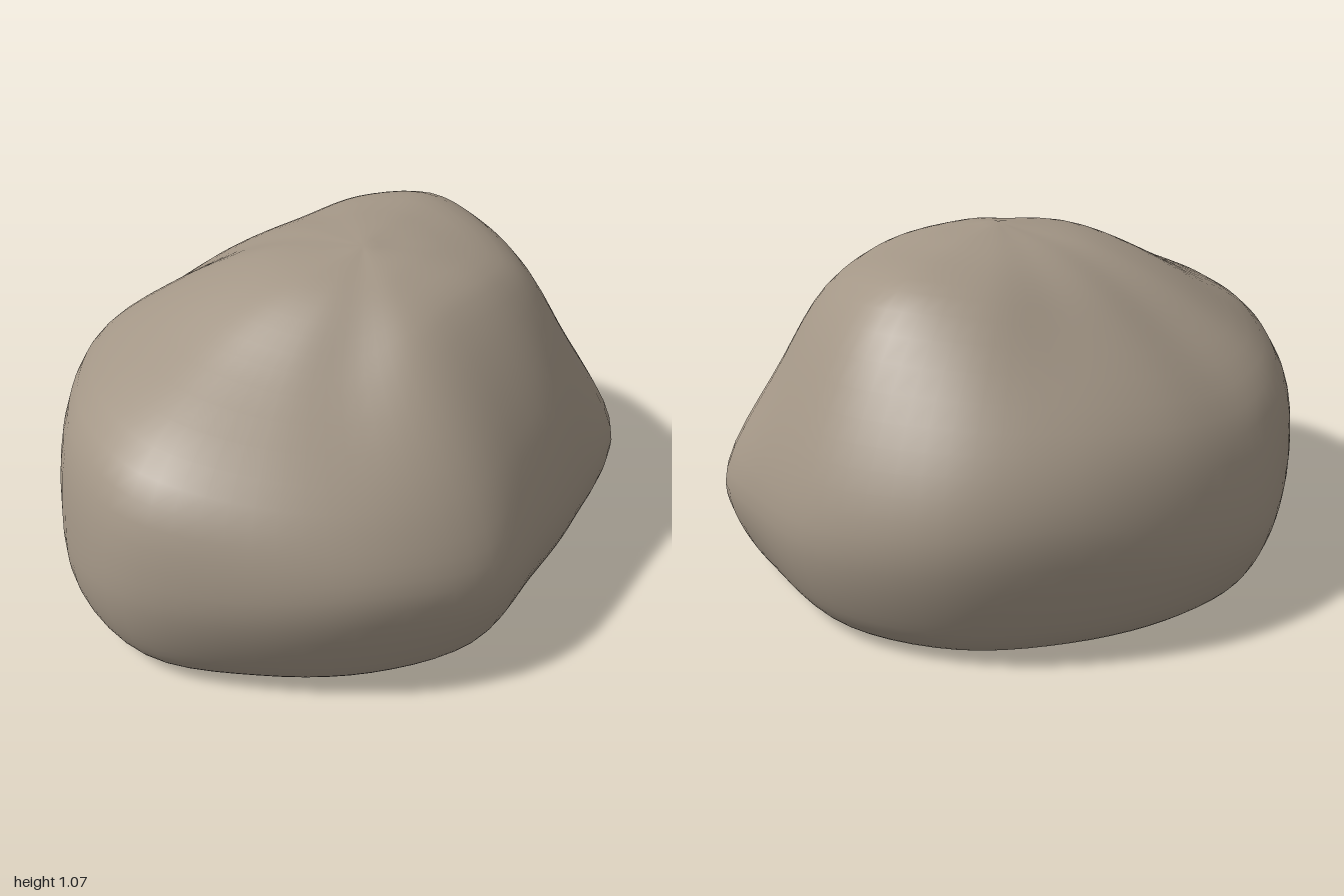
import * as THREE from 'three';

// One upright profile per 22.5 degrees, turning from +x towards +z:
// [low radius, widest radius, its height, shoulder radius, its height, upper radius, its height]
const PROFILES = [
  [0.95, 1.00, 0.36, 0.89, 0.67, 0.65, 0.99],
  [0.93, 0.97, 0.32, 0.85, 0.65, 0.64, 0.96],
  [0.97, 1.01, 0.28, 0.82, 0.64, 0.63, 0.92],
  [0.84, 0.87, 0.30, 0.77, 0.63, 0.54, 0.95],
  [0.80, 0.84, 0.31, 0.74, 0.61, 0.48, 0.95],
  [0.87, 0.92, 0.33, 0.81, 0.57, 0.50, 0.905],
  [0.88, 0.945, 0.39, 0.84, 0.59, 0.50, 0.855],
  [0.90, 0.965, 0.38, 0.87, 0.63, 0.51, 0.87],
  [0.96, 1.00, 0.36, 0.91, 0.67, 0.51, 0.89],
  [0.91, 0.93, 0.30, 0.85, 0.66, 0.50, 0.88],
  [0.80, 0.845, 0.33, 0.80, 0.62, 0.50, 0.87],
  [0.78, 0.83, 0.32, 0.78, 0.62, 0.53, 0.84],
  [0.82, 0.86, 0.28, 0.77, 0.59, 0.47, 0.85],
  [0.83, 0.875, 0.33, 0.79, 0.62, 0.46, 0.89],
  [0.86, 0.915, 0.42, 0.82, 0.66, 0.49, 0.92],
  [0.92, 0.985, 0.40, 0.87, 0.68, 0.57, 0.97],
];
const APEX = new THREE.Vector3(0.04, 1.065, 0.12);
const ROWS = 36;
const SIDES = 80;

// Smooth curve from the foot of the rock up to its apex
function profileCurve([low, R, yR, r1, y1, r2, y2], index) {
  const angle = (index / PROFILES.length) * Math.PI * 2;
  const at = (r, y) => new THREE.Vector3(r * Math.cos(angle), y, r * Math.sin(angle));
  const crown = at(r2 * 0.5, THREE.MathUtils.lerp(y2, APEX.y, 0.75));
  crown.x += APEX.x * 0.5;
  crown.z += APEX.z * 0.5;
  return new THREE.CatmullRomCurve3([
    at(low - 0.15, 0), at(low - 0.065, 0.03), at(low, 0.12), at(R, yR),
    at(r1, y1), at(r2, y2), crown, APEX.clone(),
  ]);
}

function boulderGeometry() {
  const curves = PROFILES.map(profileCurve);
  const positions = [0, 0, 0]; // centre of the flat base
  const indices = [];

  // Rings blended around the profiles
  for (let i = 0; i < ROWS; i++) {
    const ring = new THREE.CatmullRomCurve3(curves.map((c) => c.getPoint(i / ROWS)), true);
    for (let j = 0; j < SIDES; j++) {
      const p = ring.getPoint(j / SIDES);
      positions.push(p.x, Math.max(0, p.y), p.z);
    }
  }
  positions.push(APEX.x, APEX.y, APEX.z);
  const top = 1 + ROWS * SIDES;

  const id = (i, j) => 1 + i * SIDES + (j % SIDES);
  for (let j = 0; j < SIDES; j++) {
    indices.push(0, id(0, j), id(0, j + 1)); // base
    for (let i = 0; i < ROWS - 1; i++) {
      indices.push(id(i, j), id(i + 1, j), id(i, j + 1));
      indices.push(id(i, j + 1), id(i + 1, j), id(i + 1, j + 1));
    }
    indices.push(id(ROWS - 1, j), top, id(ROWS - 1, j + 1)); // crown
  }

  const geometry = new THREE.BufferGeometry();
  geometry.setAttribute('position', new THREE.Float32BufferAttribute(positions, 3));
  geometry.setIndex(indices);
  geometry.computeVertexNormals();
  return geometry;
}

export function createModel() {
  const stone = new THREE.MeshStandardMaterial({ color: 0xa39686 });
  stone.name = 'stone';
  const boulder = new THREE.Mesh(boulderGeometry(), stone);
  boulder.name = 'boulder';
  const group = new THREE.Group();
  group.name = 'rock';
  group.add(boulder);
  return group;
}
